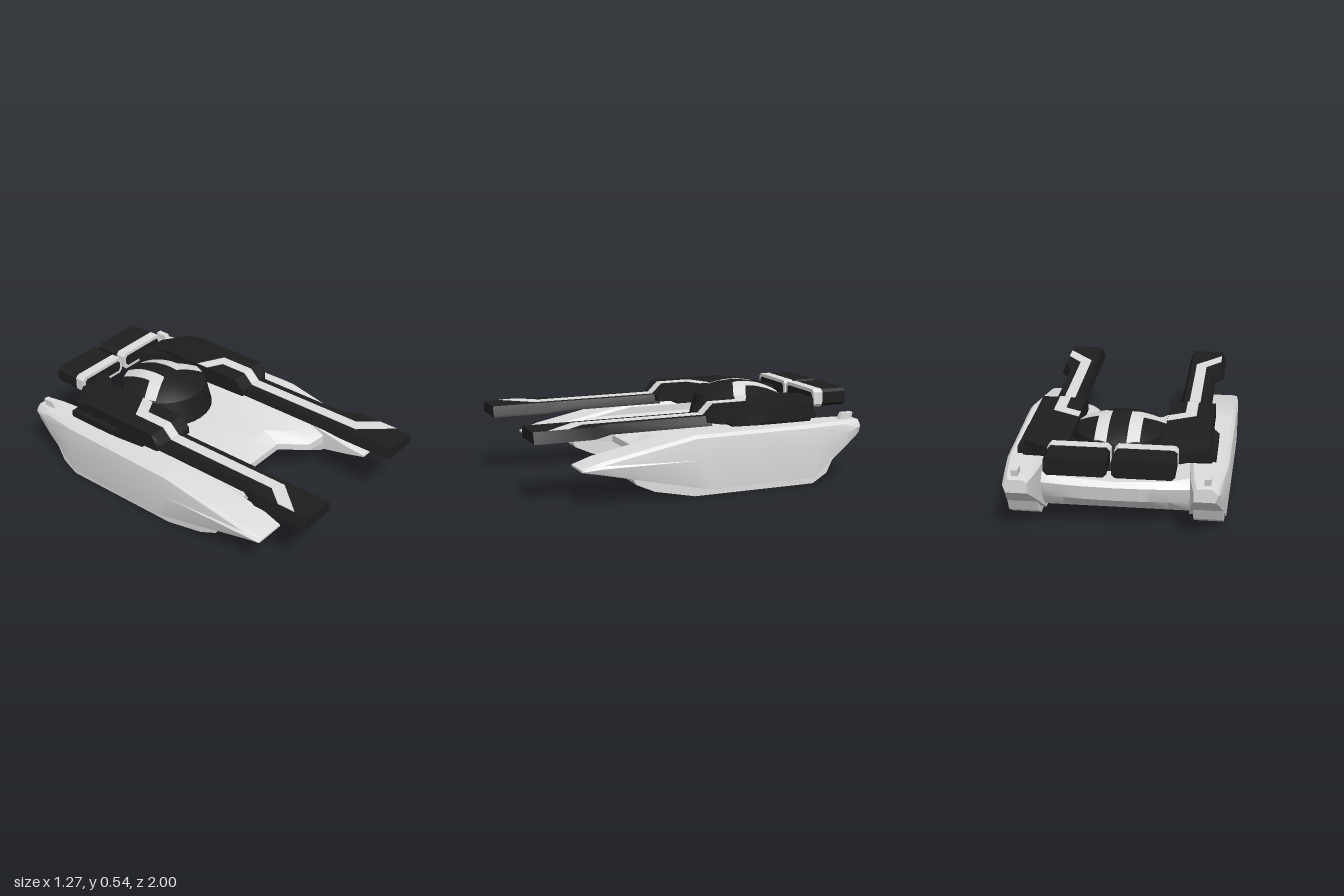
import * as THREE from 'three';
import { toCreasedNormals } from 'three/addons/utils/BufferGeometryUtils.js';

const light = new THREE.MeshStandardMaterial({ color: 0xdddddd });
light.name = 'light grey';
const dark = new THREE.MeshStandardMaterial({ color: 0x1e1e1e });
dark.name = 'charcoal';

// Closed solid through rings of equal point count; winding is fixed by signed volume.
function loft(rings) {
  const tris = [];
  const n = rings[0].length;
  for (let i = 0; i + 1 < rings.length; i++) {
    for (let j = 0; j < n; j++) {
      const k = (j + 1) % n;
      const [a, b, c, d] = [rings[i][j], rings[i][k], rings[i + 1][k], rings[i + 1][j]];
      tris.push([a, b, c], [a, c, d]);
    }
  }
  const cap = (ring, flip) => {
    const mid = [0, 1, 2].map(k => ring.reduce((sum, p) => sum + p[k], 0) / n);
    ring.forEach((p, j) => {
      const q = ring[(j + 1) % n];
      tris.push(flip ? [mid, q, p] : [mid, p, q]);
    });
  };
  cap(rings[0], true);
  cap(rings[rings.length - 1], false);
  let volume = 0;
  for (const [a, b, c] of tris) {
    volume += a[0] * (b[1] * c[2] - b[2] * c[1]) + a[1] * (b[2] * c[0] - b[0] * c[2])
      + a[2] * (b[0] * c[1] - b[1] * c[0]);
  }
  const points = tris.flatMap(t => (volume < 0 ? [t[0], t[2], t[1]] : t)).flat();
  const geometry = new THREE.BufferGeometry();
  geometry.setAttribute('position', new THREE.Float32BufferAttribute(points, 3));
  return toCreasedNormals(geometry, 0.5);
}

const mirror = (rings, s) => rings.map(r => r.map(([x, y, z]) => [x * s, y, z]));

// Rectangle in the xy plane with cut corners
function cutRect(x0, x1, y0, y1, c, z) {
  return [[x0 + c, y0, z], [x1 - c, y0, z], [x1, y0 + c, z], [x1, y1 - c, z],
    [x1 - c, y1, z], [x0 + c, y1, z], [x0, y1 - c, z], [x0, y0 + c, z]];
}

// Thin painted plate over a polygon of points
const plate = pts => [pts.map(([x, y, z]) => [x, y - 0.003, z]), pts.map(([x, y, z]) => [x, y + 0.003, z])];

const profileRing = (x, profile) => profile.map(([z, y]) => [x, y, z]);

// Side pod: z, top, bottom, inner x, outer x
const podRings = [
  [0.76, 0.207, 0.195, 0.415, 0.61], [0.65, 0.243, 0.176, 0.40, 0.622],
  [0.10, 0.35, 0.053, 0.40, 0.633], [0.02, 0.35, 0.036, 0.40, 0.634],
  [-0.65, 0.35, 0.036, 0.40, 0.622], [-0.86, 0.35, 0.187, 0.42, 0.597],
  [-0.95, 0.35, 0.252, 0.435, 0.58], [-0.975, 0.346, 0.27, 0.442, 0.572],
].map(([z, t, b, xi, xo]) => {
  const c = Math.min(0.018, (t - b) * 0.25);
  const mid = b + (t - b) * 0.53;
  return [[xi, b, z], [xi, t - c, z], [xi + c, t, z], [xo - 0.03, t, z],
    [xo - 0.011, t - c, z], [xo, mid, z], [xo - 0.015, b, z]];
});

const skidProfile = [[0.475, 0.145], [0.45, 0.10], [0.34, 0.05], [0.10, 0], [-0.65, 0], [-0.74, 0.055], [-0.785, 0.145]];
const finProfile = [[-0.855, 0.345], [-0.875, 0.388], [-0.945, 0.388], [-0.935, 0.345]];

// Central hull as side profiles stepped across the width: x, front, deck end, deck height, lip height, rear
const hullHalf = [[0.42, 0.48, 0.35, 0.292, 0.238, -0.755], [0.29, 0.45, 0.33, 0.268, 0.215, -0.77],
  [0.18, 0.30, 0.19, 0.266, 0.215, -0.78], [0, 0.30, 0.19, 0.258, 0.215, -0.785]];
const hullRings = [...hullHalf.map(([x, ...rest]) => [-x, ...rest]), ...hullHalf.slice(0, 3).reverse()]
  .map(([x, front, deckEnd, deck, lip, rear]) => profileRing(x, [[rear + 0.03, deck], [-0.3, deck + 0.002],
    [deckEnd, deck], [front, lip], [front, 0.175], [0.27, 0.174], [-0.15, 0.072], [-0.68, 0.072],
    [rear + 0.02, 0.15], [rear, 0.235]]));

// Long barrel: z, bottom, outer x
const barrelRings = [[-0.06, 0.365, 0.475], [0.55, 0.365, 0.475], [0.66, 0.355, 0.525], [1, 0.355, 0.525],
].map(([z, b, xo]) => [[0.29, b, z], [xo, b, z], [xo - 0.005, b + 0.015, z], [xo - 0.025, 0.42, z],
  [0.31, 0.42, z], [0.293, b + 0.015, z]]);

// Shoulder block, with its outer corners cut: x, rear, front
const shoulderRings = [[0.25, -0.78, -0.03], [0.36, -0.78, -0.03], [0.475, -0.703, -0.03], [0.51, -0.68, -0.055],
].map(([x, rear, front]) => profileRing(x, [[front, 0.385], [front, 0.42], [-0.09, 0.48],
  [rear + 0.12, 0.48], [rear, 0.455], [rear, 0.395], [rear + 0.1, 0.365]]));

// Mounting shelf under the shoulder: height, inset
const shelfRings = [[0.355, 0.025], [0.375, 0.018], [0.376, 0], [0.415, 0]].map(([y, i]) => [
  [0.29, y, -0.15 - i], [0.50, y, -0.15 - i], [0.517, y, -0.33], [0.545 - i, y, -0.38],
  [0.545 - i, y, -0.69 + i], [0.29, y, -0.70 + i]]);

// Stripe running over the shoulder, down its front and along the barrel
const stripeQuads = [
  [[0.252, 0.48, -0.385], [0.41, 0.48, -0.30], [0.345, 0.48, -0.26], [0.252, 0.48, -0.31]],
  [[0.345, 0.48, -0.26], [0.41, 0.48, -0.30], [0.41, 0.48, -0.09], [0.345, 0.48, -0.09]],
  [[0.345, 0.482, -0.089], [0.41, 0.482, -0.089], [0.41, 0.422, -0.028], [0.345, 0.422, -0.028]],
  [[0.345, 0.42, -0.03], [0.41, 0.42, -0.03], [0.41, 0.42, 0.69], [0.345, 0.42, 0.73]],
  [[0.345, 0.42, 0.73], [0.41, 0.42, 0.69], [0.50, 0.42, 0.80], [0.50, 0.42, 0.91]],
];

// Dome profile, also used to drape its stripes
const domeZ = -0.44;
const domeProfile = [[0.253, 0.455], [0.25, 0.462], [0.19, 0.491], [0.13, 0.515], [0.06, 0.529], [0, 0.535]];
function domeY(x, z) {
  const r = Math.hypot(x, z - domeZ);
  for (let i = 1; i < domeProfile.length; i++) {
    const [r0, y0] = domeProfile[i - 1];
    const [r1, y1] = domeProfile[i];
    if (r >= r1) return y0 + (y1 - y0) * (Math.min(r, r0) - r0) / (r1 - r0);
  }
  return domeProfile.at(-1)[1];
}

function domeStripeRings() {
  // inner x, inner z, outer x, outer z
  const keys = [[0.055, -0.685, 0.125, -0.658], [0.055, -0.39, 0.125, -0.445], [0.215, -0.32, 0.244, -0.385]];
  const rings = [];
  for (let i = 0; i < 2; i++) {
    for (let j = i ? 1 : 0; j <= 10; j++) {
      const [xi, zi, xo, zo] = keys[i].map((v, k) => v + (keys[i + 1][k] - v) * j / 10);
      const at = (f, lift) => {
        const x = xi + (xo - xi) * f;
        const z = zi + (zo - zi) * f;
        return [x, domeY(x, z) + lift, z];
      };
      rings.push([at(0, 0.004), at(0.5, 0.004), at(1, 0.004), at(1, -0.004), at(0.5, -0.004), at(0, -0.004)]);
    }
  }
  return rings;
}

export function createModel() {
  const model = new THREE.Group();
  model.name = 'hoverTank';
  const add = (name, geometry, material) => {
    const mesh = new THREE.Mesh(geometry, material);
    mesh.name = name;
    model.add(mesh);
    return mesh;
  };

  add('hull', loft(hullRings), light);

  // Turret drum and dome
  add('turretDrum', new THREE.CylinderGeometry(0.255, 0.29, 0.146, 32), dark).position.set(0, 0.383, domeZ);
  add('turretDome', new THREE.LatheGeometry(domeProfile.map(p => new THREE.Vector2(...p)), 32), dark)
    .position.z = domeZ;

  for (const s of [1, -1]) {
    const side = s > 0 ? 'left' : 'right';
    const part = (name, rings, material) => add(side + name, loft(mirror(rings, s)), material);

    part('Pod', podRings, light);
    part('Skid', [profileRing(0.43, skidProfile), profileRing(0.595, skidProfile)], light);
    part('PodFin', [profileRing(0.497, finProfile), profileRing(0.532, finProfile)], light);

    part('Barrel', barrelRings, dark);
    part('Shoulder', shoulderRings, dark);
    part('Shelf', shelfRings, dark);
    // Inner rear corner of the shoulder that carries the engine
    part('ShoulderWedge', [0.395, 0.456].map(y => [[0.252, y, -0.60], [0.252, y, -0.785], [0.15, y, -0.785]]), dark);

    stripeQuads.forEach((quad, i) => part('Stripe' + (i + 1), plate(quad), light));
    part('DomeStripe', domeStripeRings(), light);

    // Rear engine with a light collar and a dark intake
    part('Engine', [-0.84, -1].map(z => cutRect(0.013, 0.347, 0.398, 0.50, 0.018, z)), dark);
    part('EngineCollar', [-0.785, -0.845].map(z => cutRect(0.01, 0.35, 0.396, 0.503, 0.018, z)), light);
    part('EngineIntake', [-0.782, -0.788].map(z => cutRect(0.03, 0.33, 0.416, 0.483, 0.015, z)), dark);
  }
  return model;
}
